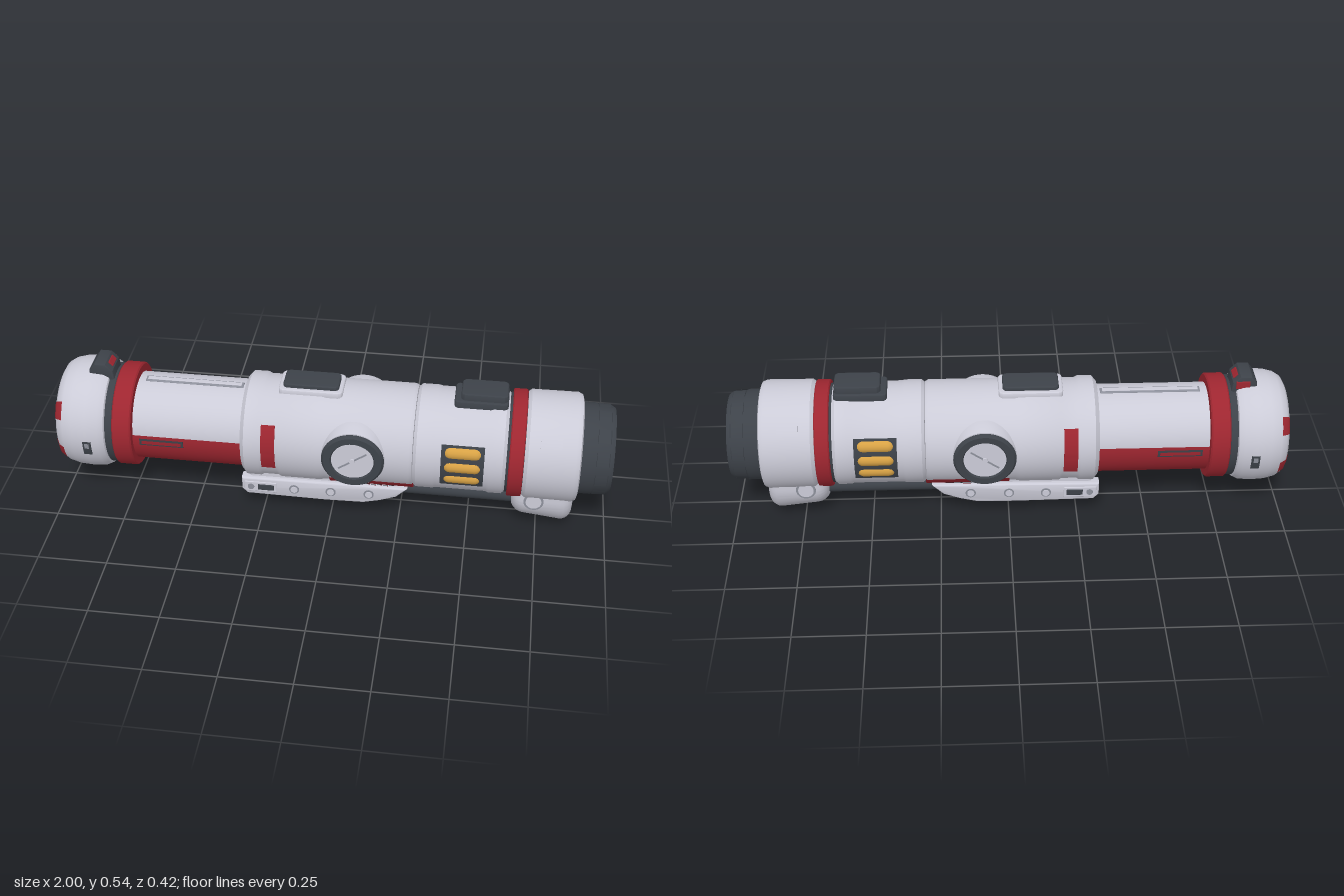
import * as THREE from 'three';
import { toCreasedNormals } from 'three/addons/utils/BufferGeometryUtils.js';
import { RoundedBoxGeometry } from 'three/addons/geometries/RoundedBoxGeometry.js';

const AXIS = 0.306; // height of the barrel axis

export function createModel() {
  const model = new THREE.Group();
  model.name = 'deviceTube';
  const mat = (name, color, side = THREE.FrontSide) => {
    const m = new THREE.MeshStandardMaterial({ color, side });
    m.name = name;
    return m;
  };
  const white = mat('paleShell', 0xcbcbd7, THREE.DoubleSide);
  const red = mat('redTrim', 0x9e2630, THREE.DoubleSide);
  const dark = mat('darkRubber', 0x3d4249, THREE.DoubleSide);
  const grey = mat('greyMetal', 0x8d909b, THREE.DoubleSide);
  const gold = mat('goldCell', 0xd8a245);

  const add = (name, geo, material, x = 0, y = 0, z = 0) => {
    const m = new THREE.Mesh(geo, material);
    m.name = name;
    m.position.set(x, y, z);
    model.add(m);
    return m;
  };
  // Turned part along x from [x, radius] points; angle 0 faces front, 90 faces down
  const turned = (name, pts, material, a0 = 0, a1 = 360) => {
    const v = pts.map(([x, r]) => new THREE.Vector2(Math.max(r, 0.0005), x));
    const rad = Math.PI / 180;
    const g = new THREE.LatheGeometry(v, a1 - a0 > 180 ? 64 : 14, a0 * rad, (a1 - a0) * rad);
    g.rotateZ(-Math.PI / 2);
    return add(name, toCreasedNormals(g, 0.6), material, 0, AXIS, 0);
  };
  // Curved plate on both flanks of the barrel
  const patch = (name, x0, x1, r, a0, a1, material) => {
    const pts = [[x0, r - 0.012], [x0, r], [x1, r], [x1, r - 0.012]];
    turned(name, pts, material, a0, a1);
    turned(name, pts, material, 180 - a1, 180 - a0);
  };
  const ring = (name, x0, x1, r, material, c = 0.008) =>
    turned(name, [[x0, 0], [x0, r - c], [x0 + c, r], [x1 - c, r], [x1, r - c], [x1, 0]], material);
  const disc = (name, r, depth, material, x, y, z, segs = 32) =>
    add(name, new THREE.CylinderGeometry(r, r, depth, segs).rotateX(Math.PI / 2), material, x, y, z);
  const rbox = (name, w, h, d, r, material, x, y, z) =>
    add(name, new RoundedBoxGeometry(w, h, d, 3, r), material, x, y, z);
  const extrude = (shape, depth, bevel) => {
    const g = new THREE.ExtrudeGeometry(shape, {
      depth: depth - 2 * bevel, bevelEnabled: bevel > 0, bevelSize: bevel, bevelThickness: bevel,
      bevelOffset: -bevel, bevelSegments: 5, curveSegments: 28,
    });
    return g.translate(0, 0, bevel - depth / 2);
  };
  const polygon = (pts) => new THREE.Shape(pts.map(([x, y]) => new THREE.Vector2(x, y)));
  // Upright pad with rounded corners, seen from above
  const pad = (name, w, d, h, r, material, x, y) => {
    const s = new THREE.Shape();
    const [a, b] = [w / 2, d / 2];
    s.absarc(a - r, b - r, r, 0, Math.PI / 2);
    s.absarc(r - a, b - r, r, Math.PI / 2, Math.PI);
    s.absarc(r - a, r - b, r, Math.PI, Math.PI * 1.5);
    s.absarc(a - r, r - b, r, Math.PI * 1.5, Math.PI * 2);
    add(name, toCreasedNormals(extrude(s, h, 0.006), 0.6).rotateX(-Math.PI / 2), material, x, y - h / 2, 0);
  };

  // Rear end cap with a recessed port
  turned('rearCap', [[-0.94, 0.125], [-0.985, 0.135], [-0.998, 0.145], [-0.998, 0.158], [-0.987, 0.178], [-0.965, 0.192],
    [-0.93, 0.201], [-0.88, 0.204], [-0.835, 0.2], [-0.815, 0.19], [-0.81, 0.18], [-0.81, 0]], white);
  turned('rearPort', [[-0.935, 0], [-0.935, 0.04], [-0.96, 0.045], [-0.96, 0.065], [-0.94, 0.07], [-0.94, 0.095],
    [-0.97, 0.1], [-0.98, 0.115], [-0.98, 0.133], [-0.94, 0.133]], dark);
  turned('rearHub', [[-0.955, 0], [-0.955, 0.025], [-0.935, 0.035]], grey);
  for (const a of [-41, 13, 147, 201])
    turned('rearInsert', [[-0.9995, 0.15], [-0.9995, 0.16], [-0.989, 0.18], [-0.967, 0.194]], red, a, a + 20);
  patch('capNotch', -0.89, -0.86, 0.206, 0, 17, dark);
  patch('capNotchFill', -0.883, -0.867, 0.2085, 2, 8, grey);

  // Rear seal, red ring and slim tube
  ring('rearSeal', -0.82, -0.78, 0.183, dark);
  ring('rearRedRing', -0.785, -0.715, 0.19, red, 0.005);
  ring('slimTube', -0.73, -0.3, 0.157, white);
  patch('tubeRedPanel', -0.72, -0.32, 0.161, -5, 57, red);
  patch('tubeSlot', -0.69, -0.53, 0.1635, -1, 9, dark);
  patch('tubeSlotFill', -0.682, -0.538, 0.166, 1.5, 6.5, red);
  rbox('topGroove', 0.36, 0.012, 0.034, 0.004, grey, -0.51, AXIS + 0.154, 0);
  rbox('topGrooveRail', 0.345, 0.006, 0.018, 0.002, white, -0.51, AXIS + 0.16, 0);

  // Main housing in two sections
  turned('mainHousing', [[-0.32, 0], [-0.32, 0.172], [-0.305, 0.19], [-0.255, 0.19], [-0.245, 0.184], [-0.19, 0.184],
    [-0.18, 0.19], [-0.04, 0.19], [-0.02, 0.186], [0.285, 0.186], [0.297, 0.18], [0.297, 0]], white);
  turned('cellHousing', [[0.297, 0], [0.299, 0.178], [0.31, 0.187], [0.37, 0.187], [0.38, 0.184], [0.56, 0.184],
    [0.57, 0.188], [0.615, 0.188], [0.63, 0.175], [0.63, 0]], white);
  patch('redSlot', -0.243, -0.193, 0.187, -33, 23, red);
  patch('lowerRedPlate', 0.0, 0.3, 0.191, 34, 68, red);
  patch('lowerSlotFrame', 0.04, 0.23, 0.1935, 45, 57, dark);
  patch('lowerSlot', 0.06, 0.21, 0.196, 48.5, 53, red);

  // Golden power cells in a dark window
  patch('cellWindow', 0.398, 0.55, 0.1862, -27, 28, dark);
  for (const s of [1, -1]) for (const a of [-0.31, 0, 0.31]) {
    add('goldCell', new THREE.CapsuleGeometry(0.0265, 0.088, 6, 16).rotateZ(Math.PI / 2), gold,
      0.474, AXIS + Math.sin(a) * 0.168, s * Math.cos(a) * 0.168);
  }

  // Gauge on each flank: sloped boss, bezel, face and needle
  const gaugeRing = (name, pts, material, s, z) => {
    const g = new THREE.LatheGeometry(pts.map(([r, y]) => new THREE.Vector2(r, y)), 48).rotateX(s * Math.PI / 2);
    return add(name, toCreasedNormals(g, 0.6), material, 0.088, AXIS + 0.004, s * z);
  };
  for (const s of [1, -1]) {
    gaugeRing('gaugeBoss', [[0.126, 0], [0.122, 0.025], [0.112, 0.055], [0.0005, 0.055]], white, s, 0.135);
    const bezel = gaugeRing('gaugeBezel', [[0.074, 0], [0.112, 0], [0.112, 0.035], [0.104, 0.045], [0.08, 0.045], [0.074, 0.035]],
      dark, s, 0.16);
    bezel.scale.y = 0.96;
    disc('gaugeFace', 0.078, 0.03, white, 0.088, AXIS + 0.004, s * 0.183, 48);
    const needle = add('gaugeNeedle', new THREE.BoxGeometry(0.12, 0.005, 0.008), grey, 0.088, AXIS + 0.004, s * 0.198);
    needle.rotation.z = 0.6;
    disc('gaugePin', 0.01, 0.012, white, 0.088, AXIS + 0.004, s * 0.199, 16);
  }

  // Top pads and rear clip
  pad('topPadSeat', 0.23, 0.13, 0.04, 0.02, white, -0.08, 0.502);
  pad('topPad', 0.2, 0.1, 0.04, 0.018, dark, -0.08, 0.516);
  pad('topSwitchBase', 0.19, 0.125, 0.06, 0.015, dark, 0.525, 0.505);
  pad('topSwitch', 0.165, 0.105, 0.06, 0.02, dark, 0.535, 0.53);
  const clip = polygon([[-0.89, 0.48], [-0.885, 0.515], [-0.865, 0.541], [-0.825, 0.541], [-0.8, 0.515], [-0.79, 0.45], [-0.86, 0.45]]);
  add('rearClip', toCreasedNormals(extrude(clip, 0.105, 0.008), 0.6), dark);
  rbox('clipRedFace', 0.022, 0.006, 0.05, 0.002, red, -0.811, 0.529, 0).rotation.z = -0.8;
  rbox('clipRedSide', 0.05, 0.03, 0.006, 0.002, red, -0.835, 0.508, -0.052);

  // Front red ring, collar and nozzle
  ring('frontSeal', 0.62, 0.7, 0.18, dark);
  ring('frontRedRing', 0.635, 0.687, 0.194, red, 0.004);
  turned('frontCollar', [[0.688, 0], [0.688, 0.187], [0.7, 0.196], [0.865, 0.197],
    [0.88, 0.19], [0.885, 0.175], [0.885, 0]], white);
  patch('collarMark', 0.74, 0.815, 0.2, -42, -31, white);
  turned('nozzle', [[0.875, 0.14], [0.885, 0.164], [0.93, 0.164], [0.94, 0.16], [0.985, 0.158], [0.998, 0.15], [0.998, 0.137]], dark);
  for (let i = 0; i < 12; i++)
    turned('nozzleRib', [[0.935, 0.158], [0.938, 0.164], [0.98, 0.162], [0.985, 0.156]], dark, i * 30, i * 30 + 18);
  turned('nozzleLip', [[0.998, 0.138], [0.998, 0.127], [0.99, 0.125]], white);
  turned('nozzleBowl', [[0.994, 0.127], [0.986, 0.11], [0.98, 0.09], [0.975, 0.07]], red);
  turned('lens', [[0.965, 0.08], [0.983, 0.08], [0.987, 0.072], [0.985, 0.057], [0.968, 0.053], [0.968, 0.038],
    [0.975, 0.035], [0.96, 0.028], [0.96, 0]], dark);

  // Rounded chin below the collar, deeper towards the nozzle
  const chin = new THREE.Shape();
  chin.moveTo(-0.137, 0.26);
  chin.lineTo(-0.137, 0.15);
  chin.absellipse(0, 0.15, 0.137, 0.138, Math.PI, Math.PI * 2, false);
  chin.lineTo(0.137, 0.26);
  const chinGeo = extrude(chin, 0.22, 0.045).rotateY(Math.PI / 2);
  const p = chinGeo.attributes.position;
  for (let i = 0; i < p.count; i++)
    p.setY(i, p.getY(i) + Math.max(0, 0.15 - p.getY(i)) * (0.06 - p.getX(i)) * 1.1);
  add('chin', toCreasedNormals(chinGeo, 0.6), white, 0.765, 0, 0);
  for (const s of [1, -1]) {
    disc('chinPivotRim', 0.036, 0.02, grey, 0.735, 0.148, s * 0.128, 24);
    disc('chinPivot', 0.028, 0.026, white, 0.735, 0.148, s * 0.128, 24);
  }

  // Underside: twin rails, dark spine, rods and trigger
  const rail = polygon([[-0.33, 0.135], [-0.33, 0.085], [-0.31, 0.064], [-0.02, 0.06], [0.12, 0.063], [0.18, 0.078],
    [0.24, 0.1], [0.28, 0.14], [0.1, 0.14]]);
  for (const s of [1, -1]) {
    add('sideRail', toCreasedNormals(extrude(rail, 0.045, 0.009), 0.6), white, 0, 0, s * 0.095);
    rbox('railSlotRim', 0.12, 0.044, 0.01, 0.004, white, -0.26, 0.1, s * 0.115);
    rbox('railSlot', 0.06, 0.024, 0.01, 0.003, dark, -0.24, 0.1, s * 0.118);
    disc('railPin', 0.012, 0.01, grey, -0.295, 0.1, s * 0.118, 18);
    for (const [x, y] of [[-0.135, 0.1], [0.0, 0.102], [0.14, 0.105]]) {
      disc('railBoltRim', 0.019, 0.008, grey, x, y, s * 0.115, 18);
      disc('railBolt', 0.013, 0.012, white, x, y, s * 0.116, 18);
    }
    const rod = new THREE.CylinderGeometry(0.03, 0.03, 0.44, 18).rotateZ(Math.PI / 2);
    add('lowerRod', rod, dark, 0.45, 0.116, s * 0.055);
  }
  rbox('railBridge', 0.55, 0.08, 0.2, 0.015, white, -0.03, 0.155, 0);
  rbox('railSpine', 0.46, 0.06, 0.15, 0.01, dark, -0.01, 0.112, 0);
  rbox('rodSpine', 0.4, 0.05, 0.1, 0.01, dark, 0.46, 0.125, 0);
  const trigger = polygon([[0.005, 0.025], [0.02, 0], [0.06, 0.026], [0.125, 0.036], [0.165, 0.064], [0.18, 0.1], [0.02, 0.1], [0.025, 0.045]]);
  add('trigger', toCreasedNormals(extrude(trigger, 0.062, 0.003), 0.6), dark);

  return model;
}
